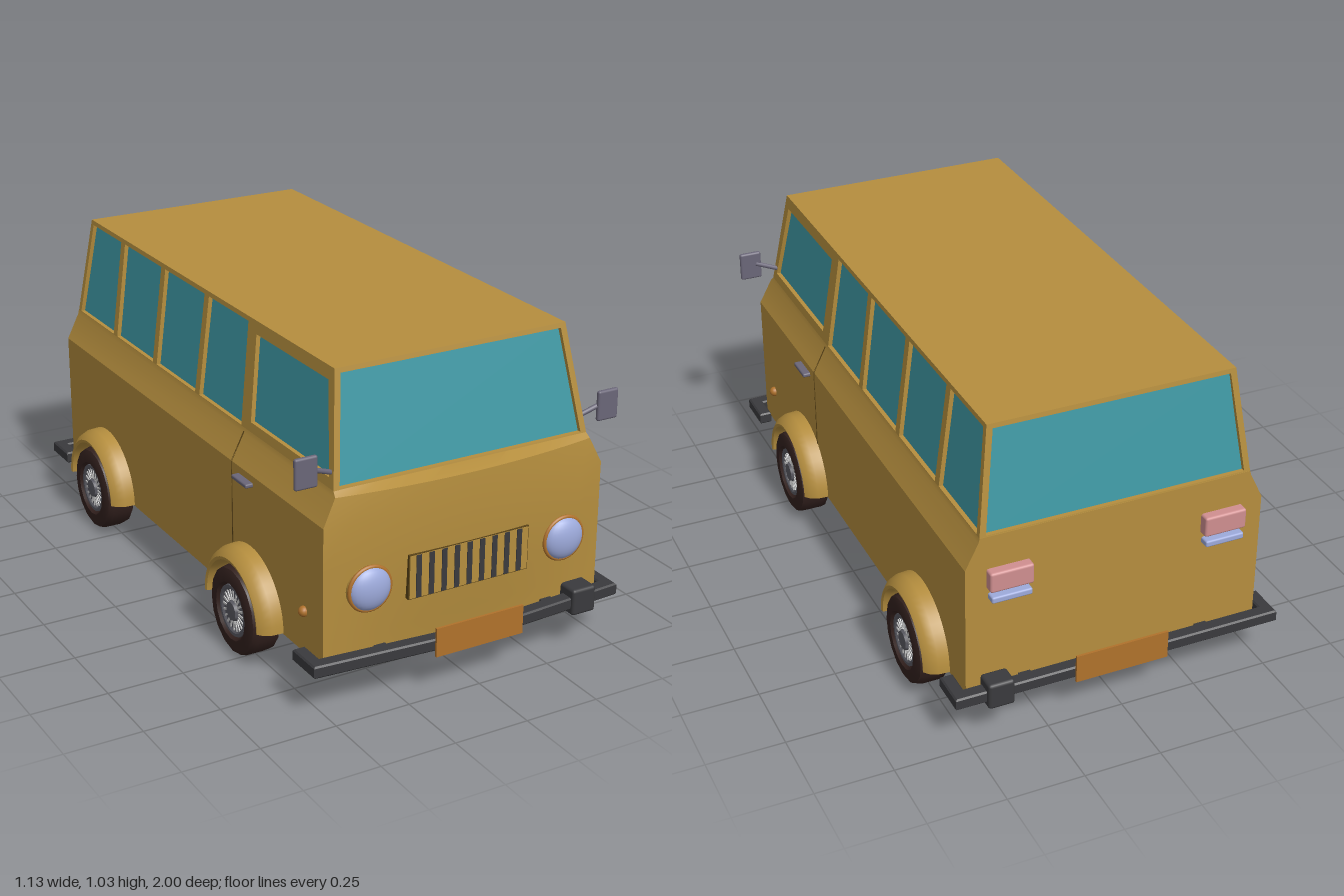
import * as THREE from 'three';
import { toCreasedNormals } from 'three/addons/utils/BufferGeometryUtils.js';
import { RoundedBoxGeometry } from 'three/addons/geometries/RoundedBoxGeometry.js';

const mat = (color, side = THREE.FrontSide) => new THREE.MeshStandardMaterial({ color, side });
const PAINT = mat(0xb58e3e), PAINT2 = mat(0xb58e3e, THREE.DoubleSide), SEAM = mat(0x5c4518);
const GLASS = mat(0x3f98a4), DARK = mat(0x3a3a3d), TYRE = mat(0x33211e), RIM = mat(0x5a5a62);
const LENS = mat(0x9daadb), RED = mat(0xd08f90), ORANGE = mat(0xb0722c), MIRROR = mat(0x6a6678);

function add(parent, name, geometry, material, x = 0, y = 0, z = 0) {
  const mesh = new THREE.Mesh(geometry, material);
  mesh.name = name;
  mesh.position.set(x, y, z);
  parent.add(mesh);
  return mesh;
}
const box = (w, h, d) => new THREE.BoxGeometry(w, h, d);
const rbox = (w, h, d, r) => new RoundedBoxGeometry(w, h, d, 2, r);
const shapeOf = (pts) => new THREE.Shape(pts.map(([x, y]) => new THREE.Vector2(x, y)));

// Outline rules: half width, front and back of the shell at height y
const halfWidth = (y) => y <= 0.59 ? 0.49 : y <= 0.68 ? 0.49 - (y - 0.59) * 0.5 : 0.445 - (y - 0.68) * 0.129;
const frontZ = (y) => 0.885 - (y - 0.68) * 0.214;
const backZ = (y) => -0.93 + Math.max(0, y - 0.68) * 0.143;

// Closed solid through rings of equal point count, listed bottom to top
function loft(rings) {
  const n = rings[0].length, index = [];
  for (let r = 0; r < rings.length - 1; r++) {
    for (let j = 0; j < n; j++) {
      const a = r * n + j, b = r * n + (j + 1) % n;
      index.push(a, b, b + n, a, b + n, a + n);
    }
  }
  const top = (rings.length - 1) * n;
  for (let j = 1; j < n - 1; j++) index.push(0, j + 1, j, top, top + j, top + j + 1);
  const g = new THREE.BufferGeometry();
  g.setAttribute('position', new THREE.Float32BufferAttribute(rings.flat(2), 3));
  g.setIndex(index);
  return toCreasedNormals(g, 0.3);
}

// Rectangular ring following the cabin, inset by d
function cabinRing(y, d) {
  const w = halfWidth(y) - d, f = frontZ(y) - d, b = backZ(y) + d;
  return [[w, y, f], [w, y, b], [-w, y, b], [-w, y, f]];
}

// Lower body ring whose front edge bows forward
function bodyRing([y, front, bulge]) {
  const w = halfWidth(y), ring = [[w, y, front], [w, y, -0.93], [-w, y, -0.93]];
  for (let i = 0; i < 12; i++) {
    const t = -1 + i / 6;
    ring.push([w * t, y, front + bulge * (1 - t * t)]);
  }
  return ring;
}

// Thin sheet with holes, bent onto the shell by a placing rule
function sheet(outline, holes, depth, rule) {
  const shape = shapeOf(outline);
  holes.forEach((h) => shape.holes.push(shapeOf(h)));
  const g = new THREE.ExtrudeGeometry(shape, { depth, bevelEnabled: false });
  const p = g.attributes.position;
  for (let i = 0; i < p.count; i++) p.setXYZ(i, ...rule(p.getX(i), p.getY(i), p.getZ(i) - depth));
  g.computeVertexNormals();
  return g;
}
const onSide = (u, y, w) => [halfWidth(y) + w, y, -u];
const onFront = (u, y, w) => [u, y, frontZ(y) + w];
const onBack = (u, y, w) => [-u, y, backZ(y) - w];

// Bumper bar drawn in plan and extruded upwards
function bumperBar(tip, corner, nose) {
  const t = 0.035 * Math.sign(corner);
  const g = new THREE.ExtrudeGeometry(shapeOf([
    [-0.54, tip], [-0.54, corner], [0, nose], [0.54, corner], [0.54, tip],
    [0.508, tip], [0.508, corner - t], [0, nose - t], [-0.508, corner - t], [-0.508, tip],
  ]), { depth: 0.03, bevelThickness: 0.005, bevelSize: 0.005, bevelSegments: 1 });
  return g.rotateX(Math.PI / 2).translate(0, 0.175, 0);
}

// Lathe turned onto the x axis; points are [radius, x]
function turned(points, segments, start = 0, length = Math.PI * 2) {
  const pts = points.map(([r, x]) => new THREE.Vector2(r, x));
  return toCreasedNormals(new THREE.LatheGeometry(pts, segments, start, length).rotateZ(-Math.PI / 2), 0.6);
}

function buildWheel(parent, z) {
  const wheel = new THREE.Group();
  wheel.name = 'wheel';
  wheel.position.set(0, 0.145, z);
  parent.add(wheel);
  add(wheel, 'tyre', turned([[0, 0.457], [0.125, 0.457], [0.141, 0.467], [0.145, 0.485], [0.145, 0.54],
    [0.139, 0.558], [0.125, 0.565], [0.095, 0.565], [0.085, 0.55], [0, 0.55]], 16), TYRE);
  add(wheel, 'rim', turned([[0.086, 0.548], [0.084, 0.558], [0.074, 0.558], [0.066, 0.552],
    [0.034, 0.552], [0.03, 0.563], [0, 0.565]], 24), RIM);
  for (let i = 0; i < 20; i++) {
    const a = i / 20 * Math.PI * 2;
    const spoke = add(wheel, 'spoke', box(0.004, 0.034, 0.007), mat(0xcccccc), 0.553, 0.051 * Math.cos(a), 0.051 * Math.sin(a));
    spoke.rotation.x = a;
  }
  // Flared arch over the wheel
  add(wheel, 'wheelArch', turned([[0.158, 0.48], [0.158, 0.545], [0.164, 0.562], [0.174, 0.565],
    [0.192, 0.55], [0.203, 0.525], [0.206, 0.48]], 24, Math.PI, Math.PI), PAINT2);
}

function buildSide() {
  const side = new THREE.Group();
  side.name = 'side';
  // Window corners as [z, y]: front bottom, rear bottom, rear top, front top
  const windows = [
    [[0.85, 0.72], [0.375, 0.72], [0.352, 0.99], [0.785, 0.99]],
    [[0.318, 0.692], [0.03, 0.692], [0.03, 1.015], [0.295, 1.015]],
    [[0, 0.692], [-0.285, 0.692], [-0.285, 1.015], [0, 1.015]],
    [[-0.315, 0.692], [-0.6, 0.692], [-0.6, 1.015], [-0.315, 1.015]],
    [[-0.63, 0.692], [-0.91, 0.692], [-0.872, 1.015], [-0.63, 1.015]],
  ].map((w) => w.map(([z, y]) => [-z, y]));
  const outline = [[-frontZ(0.68), 0.68], [-backZ(0.68), 0.68], [-backZ(1.03), 1.03], [-frontZ(1.03), 1.03]];
  add(side, 'sideWindowFrame', sheet(outline, windows, 0.02, onSide), PAINT);
  add(side, 'doorSeam', sheet([[-0.343, 0.3], [-0.338, 0.3], [-0.338, 0.59], [-0.338, 0.68], [-0.343, 0.68], [-0.343, 0.59]],
    [], 0.004, (u, y, w) => onSide(u, y, w + 0.0015)), SEAM);
  add(side, 'doorHandle', rbox(0.03, 0.014, 0.096, 0.005), MIRROR, 0.5, 0.56, 0.43);
  add(side, 'sideMarker', new THREE.SphereGeometry(0.017, 16, 10), ORANGE, 0.493, 0.28, 0.795);

  // Door mirror and its arm
  add(side, 'mirror', rbox(0.075, 0.098, 0.016, 0.007), MIRROR, 0.528, 0.76, 0.87);
  const arm = new THREE.LineCurve3(new THREE.Vector3(0.43, 0.735, 0.855), new THREE.Vector3(0.51, 0.765, 0.867));
  add(side, 'mirrorArm', new THREE.TubeGeometry(arm, 1, 0.008, 8), MIRROR);

  // Lamps
  const lens = add(side, 'headlight', new THREE.SphereGeometry(0.07, 28, 16), LENS, 0.345, 0.375, 0.922);
  lens.scale.z = 0.5;
  add(side, 'headlightRing', new THREE.TorusGeometry(0.069, 0.007, 8, 32), ORANGE, 0.345, 0.375, 0.925);
  add(side, 'headlightBowl', new THREE.CylinderGeometry(0.074, 0.074, 0.03, 32).rotateX(Math.PI / 2), PAINT, 0.345, 0.375, 0.91);
  add(side, 'tailLight', rbox(0.14, 0.068, 0.04, 0.008), RED, 0.353, 0.545, -0.942);
  add(side, 'reverseLight', rbox(0.13, 0.022, 0.04, 0.006), LENS, 0.353, 0.484, -0.942);

  for (const z of [0.46, -0.605]) buildWheel(side, z);
  return side;
}

export function createModel() {
  const van = new THREE.Group();
  van.name = 'van';

  // Shell: [height, front z, bow of the nose]
  add(van, 'lowerBody', loft([[0.142, 0.905, 0], [0.22, 0.905, 0.008], [0.32, 0.905, 0.022], [0.45, 0.905, 0.032],
    [0.59, 0.905, 0.035], [0.675, 0.898, 0.038], [0.69, 0.882, 0.004]].map(bodyRing)), PAINT);
  add(van, 'glass', loft([cabinRing(0.68, 0.014), cabinRing(1.02, 0.014)]), GLASS);
  add(van, 'roof', loft([cabinRing(1.016, 0.001), cabinRing(1.03, 0)]), PAINT);

  // Frames round the windscreen and the rear window
  const ends = [[-1, 0.68], [1, 0.68], [1, 1.03], [-1, 1.03]].map(([s, y]) => [s * halfWidth(y), y]);
  const pane = [[-0.426, 0.694], [0.426, 0.694], [0.387, 1.015], [-0.387, 1.015]];
  add(van, 'windscreenFrame', sheet(ends, [pane], 0.02, onFront), PAINT);
  add(van, 'rearWindowFrame', sheet(ends, [pane], 0.02, onBack), PAINT);

  // Grille
  add(van, 'grilleSurround', box(0.424, 0.145, 0.03), SEAM, -0.008, 0.383, 0.923);
  add(van, 'grillePanel', box(0.418, 0.139, 0.03), PAINT, -0.008, 0.383, 0.925);
  for (let i = 0; i < 9; i++) add(van, 'grilleSlot', box(0.018, 0.138, 0.03), DARK, -0.187 + i * 0.0445, 0.383, 0.927);

  // Bumpers, overrider blocks and plates
  add(van, 'frontBumper', bumperBar(0.825, 0.945, 0.985), DARK);
  add(van, 'rearBumper', bumperBar(-0.865, -0.98, -0.98), DARK);
  add(van, 'frontBumperBlock', rbox(0.086, 0.088, 0.09, 0.01), DARK, 0.402, 0.165, 0.93);
  add(van, 'rearBumperBlock', rbox(0.086, 0.088, 0.07, 0.01), DARK, 0.402, 0.165, -0.965);
  add(van, 'frontPlate', box(0.31, 0.095, 0.008), ORANGE, 0, 0.177, 0.992);
  add(van, 'rearPlate', box(0.31, 0.095, 0.008), ORANGE, 0, 0.177, -0.99);
  for (const x of [-0.3, 0.3]) {
    add(van, 'frontBumperBracket', box(0.04, 0.025, 0.08), DARK, x, 0.16, 0.9);
    add(van, 'rearBumperBracket', box(0.04, 0.025, 0.06), DARK, x, 0.16, -0.93);
  }

  // Matching sides
  for (const s of [1, -1]) {
    const side = buildSide();
    side.name = s > 0 ? 'leftSide' : 'rightSide';
    side.scale.x = s;
    van.add(side);
  }
  return van;
}
